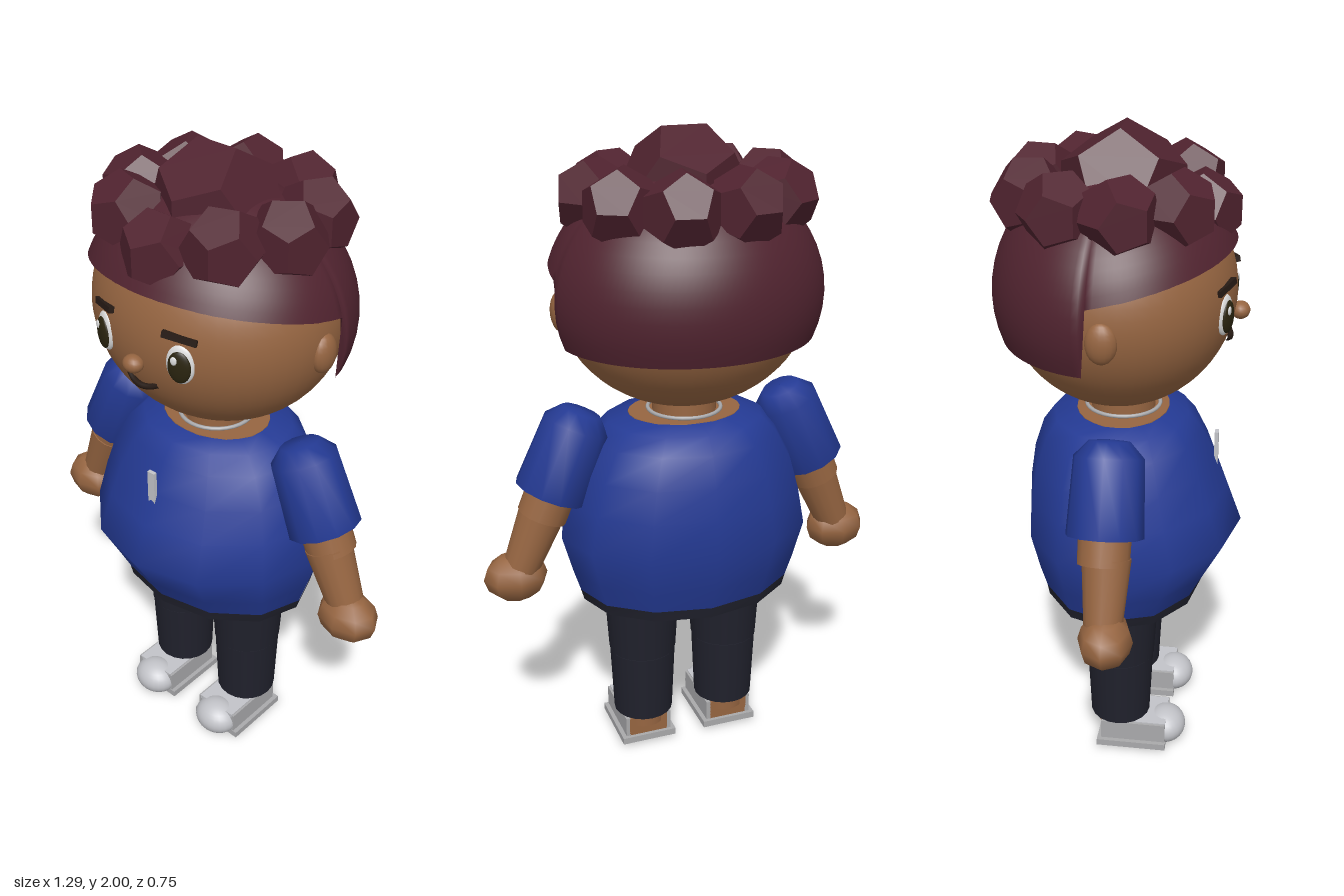
import * as THREE from 'three';

const mat = (name, color, double) => {
  const m = new THREE.MeshStandardMaterial({ color });
  m.name = name;
  if (double) m.side = THREE.DoubleSide;
  return m;
};

// Closed tube of cross-sections: point(row, angle) gives each vertex, rows run upwards.
function loft(rows, cols, point) {
  const pos = [], index = [];
  for (let i = 0; i < rows; i++) {
    for (let j = 0; j < cols; j++) {
      pos.push(...point(i, (j / cols) * Math.PI * 2));
      if (i === rows - 1) continue;
      const a = i * cols + j, b = i * cols + ((j + 1) % cols);
      index.push(a, b, b + cols, a, b + cols, a + cols);
    }
  }
  const g = new THREE.BufferGeometry();
  g.setAttribute('position', new THREE.Float32BufferAttribute(pos, 3));
  g.setIndex(index);
  g.computeVertexNormals();
  return g;
}

export function createModel() {
  const model = new THREE.Group();
  model.name = 'figure';
  const skin = mat('skin', 0x966541);
  const hair = mat('hair', 0x50232f, true);
  const blue = mat('shirt blue', 0x243a94, true);
  const dark = mat('trouser navy', 0x20212c, true);
  const grey = mat('shoe grey', 0xa9a9ab);
  const light = mat('light grey', 0xc2c3c8);
  const white = mat('eye white', 0xdcdcdc);
  const pupil = mat('pupil', 0x2a240f);
  const brown = mat('brow brown', 0x261a14);

  const add = (parent, name, geo, material, x = 0, y = 0, z = 0) => {
    const m = new THREE.Mesh(geo, material);
    m.name = name;
    m.position.set(x, y, z);
    parent.add(m);
    return m;
  };
  const ball = (parent, name, material, p, r, w = 32, h = 24) => {
    const m = add(parent, name, new THREE.SphereGeometry(1, w, h), material, ...p);
    m.scale.set(...r);
    return m;
  };
  const box = (w, h, d) => new THREE.BoxGeometry(w, h, d);
  const cyl = (top, bottom, h, n = 20) => new THREE.CylinderGeometry(top, bottom, h, n);

  // Head
  const head = new THREE.Group();
  head.name = 'head';
  model.add(head);
  ball(head, 'skull', skin, [0, 1.53, -0.01], [0.385, 0.342, 0.342], 48, 32);
  ball(head, 'nose', skin, [0, 1.475, 0.342], [0.032, 0.026, 0.028], 16, 12);
  const smile = new THREE.CatmullRomCurve3([
    [-0.055, 1.41, 0.302], [-0.03, 1.399, 0.311], [0, 1.395, 0.316], [0.03, 1.399, 0.311], [0.055, 1.41, 0.302],
  ].map((p) => new THREE.Vector3(...p)));
  add(head, 'mouth', new THREE.TubeGeometry(smile, 16, 0.009, 8), brown);
  for (const s of [-1, 1]) {
    ball(head, 'ear', skin, [s * 0.378, 1.5, -0.01], [0.03, 0.06, 0.045], 16, 12);
    const eye = new THREE.Group();
    eye.name = 'eye';
    eye.position.set(s * 0.14, 1.51, 0.303);
    eye.rotation.y = s * 0.35;
    head.add(eye);
    ball(eye, 'eyeWhite', white, [0, 0, 0], [0.042, 0.06, 0.016], 24, 16);
    ball(eye, 'iris', pupil, [0, -0.004, 0.01], [0.034, 0.048, 0.012], 24, 16);
    ball(eye, 'glint', white, [-0.012, 0.018, 0.02], [0.01, 0.013, 0.004], 12, 8);
    const brow = add(head, 'eyebrow', box(0.1, 0.018, 0.016), brown, s * 0.14, 1.59, 0.305);
    brow.rotation.set(-0.15, s * 0.4, s * -0.08);
  }

  // Hair shell: an ellipsoid cut along a sloping fringe and a lower nape
  const shellPoint = (theta, a) => [
    0.415 * Math.sin(theta) * Math.sin(a),
    1.53 + 0.365 * Math.cos(theta),
    -0.01 + 0.37 * Math.sin(theta) * Math.cos(a),
  ];
  const hairline = (z) => (z < -0.06 ? 1.4 : 1.6 + 0.22 * (z + 0.06));
  const cutAngle = (a) => {
    let t = 0.3;
    for (; t < 2.6; t += 0.004) {
      const [, y, z] = shellPoint(t, a);
      if (y < hairline(z)) break;
    }
    return t;
  };
  const rows = 16;
  add(head, 'hairShell', loft(rows + 1, 120, (i, a) => shellPoint(cutAngle(a) * (1 - i / rows), a)), hair);

  // Chunky curls: one on the crown and a ring of nine
  add(head, 'crownCurl', new THREE.DodecahedronGeometry(0.19), hair, 0, 1.823, 0);
  for (let i = 0; i < 9; i++) {
    const a = (i / 9) * Math.PI * 2;
    const curl = add(head, 'curl', new THREE.DodecahedronGeometry(0.116), hair,
      0.268 * Math.sin(a), i === 0 ? 1.77 : 1.81, -0.02 + 0.245 * Math.cos(a));
    curl.rotation.y = i === 0 ? 0 : a * 0.5;
  }

  // Neck and skin under the shirt
  add(model, 'neck', cyl(0.095, 0.1, 0.16), skin, 0, 1.17, 0);
  const chain = add(model, 'necklace', new THREE.TorusGeometry(0.112, 0.006, 8, 32), grey, 0, 1.163, 0);
  chain.rotation.x = Math.PI / 2;
  const chest = add(model, 'chest', cyl(0.175, 0.2, 0.1, 24), skin, 0, 1.107, 0);
  chest.scale.z = 0.8;
  const hips = add(model, 'hips', cyl(0.325, 0.325, 0.03, 12), skin, 0, 0.58, 0);
  hips.scale.z = 0.76;

  // Shirt and hem: rings of [y, half width, front depth, back depth]
  const garment = (name, rings, material) => add(model, name, loft(rings.length, 12, (i, a) => {
    const [y, rx, front, back] = rings[i], c = Math.cos(a);
    return [rx * Math.sin(a), y, c * (c > 0 ? front : back)];
  }), material);
  garment('shirt', [
    [0.585, 0.343, 0.262, 0.25],
    [0.66, 0.367, 0.303, 0.272],
    [0.78, 0.4, 0.372, 0.3],
    [0.9, 0.375, 0.325, 0.293],
    [1.0, 0.345, 0.285, 0.278],
    [1.09, 0.295, 0.24, 0.248],
    [1.14, 0.245, 0.2, 0.212],
    [1.157, 0.17, 0.135, 0.135],
  ], blue);
  garment('hem', [[0.555, 0.335, 0.258, 0.246], [0.59, 0.345, 0.265, 0.252]], dark);
  add(model, 'zipPull', box(0.026, 0.11, 0.012), light, 0, 1.025, 0.287);

  // Arms, legs and shoes
  const sleeveProfile = [[0.001, 0.055], [0.06, 0.05], [0.102, 0.005], [0.113, -0.22], [0.07, -0.22]]
    .reverse().map((p) => new THREE.Vector2(...p));
  for (const s of [-1, 1]) {
    const arm = new THREE.Group();
    arm.name = s > 0 ? 'leftArm' : 'rightArm';
    arm.position.set(s * 0.342, 1.14, 0.005);
    arm.rotation.z = s * 0.4;
    model.add(arm);
    add(arm, 'sleeve', new THREE.LatheGeometry(sleeveProfile, 12), blue);
    add(arm, 'upperArm', cyl(0.078, 0.076, 0.2, 16), skin, 0, -0.2, 0);
    add(arm, 'forearm', cyl(0.072, 0.056, 0.2, 16), skin, 0, -0.38, 0.008);
    ball(model, 'hand', skin, [s * 0.545, 0.665, 0.022], [0.1, 0.078, 0.08], 8, 6);

    const leg = new THREE.Group();
    leg.name = s > 0 ? 'leftLeg' : 'rightLeg';
    leg.position.x = s * 0.142;
    model.add(leg);
    add(leg, 'thigh', cyl(0.122, 0.108, 0.235), dark, 0, 0.463, 0.01);
    add(leg, 'shin', cyl(0.106, 0.096, 0.227), dark, 0, 0.229, 0.01);
    add(leg, 'ankle', cyl(0.07, 0.07, 0.06), skin, 0, 0.1, 0.01);

    add(leg, 'foot', box(0.13, 0.08, 0.19), skin, 0, 0.06, 0.05);
    for (const t of [-1, 1]) add(leg, 'shoeSide', box(0.014, 0.08, 0.21), grey, t * 0.07, 0.063, 0.06);
    add(leg, 'shoeTop', box(0.14, 0.014, 0.1), light, 0, 0.1, 0.115);
    ball(leg, 'toeCap', light, [0, 0.06, 0.16], [0.076, 0.057, 0.066], 24, 16);
    // Sole rim with a zigzag of treads inside it
    for (const t of [-1, 1]) add(leg, 'soleEdge', box(0.022, 0.022, 0.225), grey, t * 0.08, 0.026, 0.055);
    add(leg, 'soleHeel', box(0.18, 0.022, 0.012), grey, 0, 0.026, -0.051);
    add(leg, 'soleFront', box(0.16, 0.022, 0.06), grey, 0, 0.026, 0.137);
    for (let i = 0; i < 4; i++) {
      const tread = add(leg, 'tread', box(0.1, 0.008, 0.01), grey, 0, 0.018, 0.01 + i * 0.028);
      tread.rotation.y = i % 2 ? 0.3 : -0.3;
    }
  }
  return model;
}
